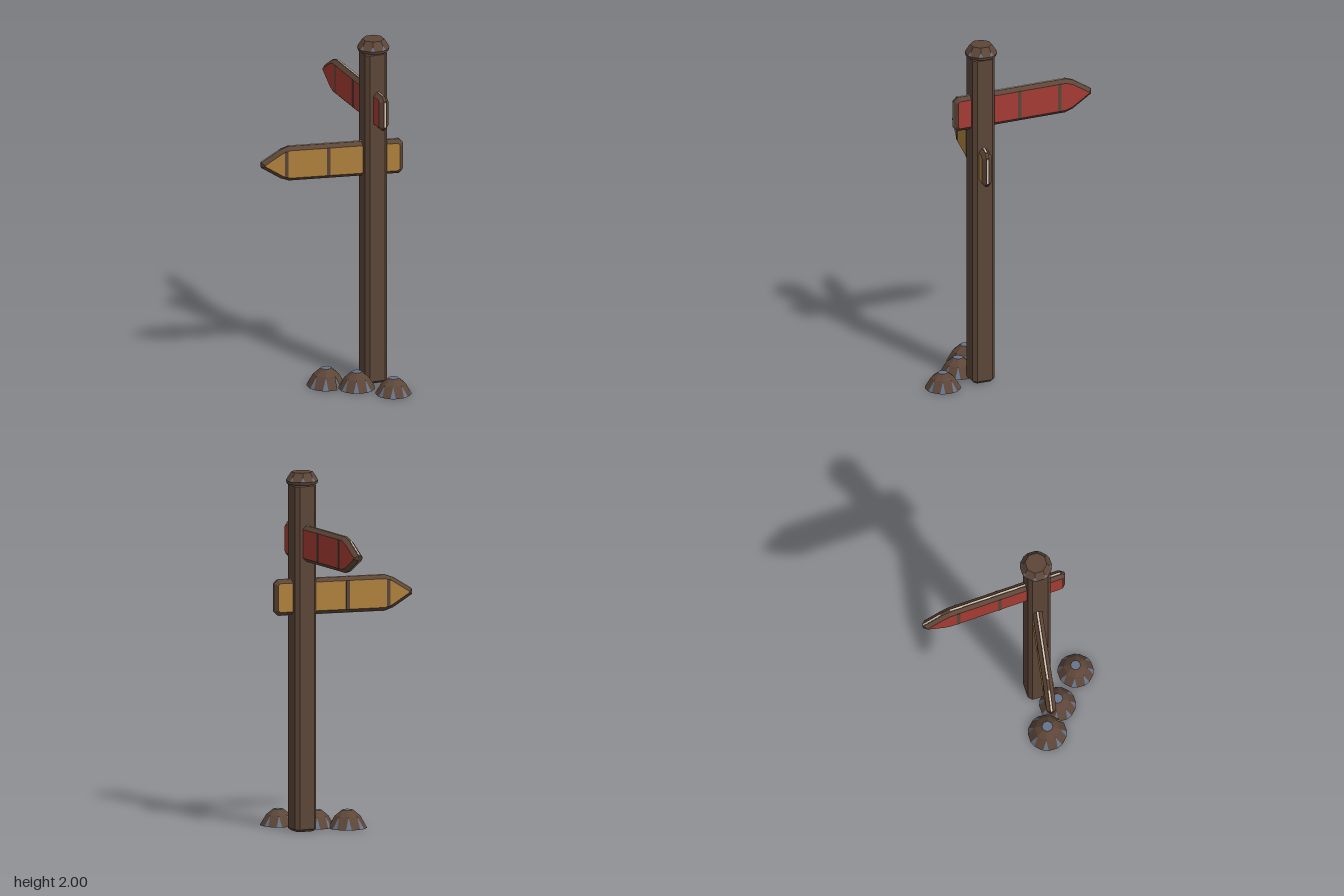
import * as THREE from 'three';

const mat = (name, color) => Object.assign(new THREE.MeshStandardMaterial({ color }), { name });

export function createModel() {
  const wood = mat('brown wood', 0x5d4638);
  const slate = mat('slate grey', 0x66748a);
  const ochre = mat('ochre paint', 0xb0823c);
  const red = mat('red paint', 0xa63c34);
  const cream = mat('cream edge', 0xd6cbb8);

  const model = new THREE.Group();
  model.name = 'signpost';

  const add = (parent, name, geometry, material, x = 0, y = 0, z = 0) => {
    const mesh = new THREE.Mesh(geometry, material);
    mesh.name = name;
    mesh.position.set(x, y, z);
    parent.add(mesh);
    return mesh;
  };
  const bevelled = (points, depth, bevel) => new THREE.ExtrudeGeometry(
    new THREE.Shape(points.map(([x, y]) => new THREE.Vector2(x, y))),
    { depth: depth - 2 * bevel, bevelThickness: bevel, bevelSize: bevel, bevelOffset: -bevel, bevelSegments: 1 },
  ).translate(0, 0, bevel - depth / 2);

  // Flat-faceted geometry from a list of triangles
  const facets = (triangles) => {
    const g = new THREE.BufferGeometry();
    g.setAttribute('position', new THREE.Float32BufferAttribute(triangles.flat(2), 3));
    g.computeVertexNormals();
    return g;
  };

  // Eight-sided dome whose lower corners are cut into slate wedges.
  // Rings are [radius, height]: skirt, rim, shoulder, crown.
  function dome(name, [skirt, rim, shoulder, crown], crownMaterial, missing = -1) {
    const group = new THREE.Group();
    group.name = name;
    const brown = [], grey = [], top = [];
    const at = ([r, y], a) => [r * Math.cos(a), y, -r * Math.sin(a)];
    const quad = (list, a, b, c, d) => list.push([a, b, c], [a, c, d]);
    const cut = 0.15;
    for (let k = 0; k < 8; k++) {
      const a = (k + 0.5) * Math.PI / 4, b = a + Math.PI / 4;
      if (k !== missing) grey.push([at(rim, a - cut), at(rim, a + cut), at(shoulder, a)]);
      quad(brown, at(rim, a + cut), at(rim, b - cut), at(shoulder, b), at(shoulder, a));
      quad(brown, at(shoulder, a), at(shoulder, b), at(crown, b), at(crown, a));
      top.push([at(crown, a), at(crown, b), [0, crown[1], 0]]);
      // Skirt and underside
      for (const [p, q] of [[a - cut, a + cut], [a + cut, b - cut]]) {
        if (skirt[1] < rim[1]) quad(brown, at(skirt, p), at(skirt, q), at(rim, q), at(rim, p));
        brown.push([at(skirt, q), at(skirt, p), [0, skirt[1], 0]]);
      }
    }
    add(group, 'domeSides', facets(brown), wood);
    add(group, 'cornerWedges', facets(grey), slate);
    add(group, 'crown', facets(top), crownMaterial);
    model.add(group);
    return group;
  }

  // Square post with chamfered corners
  const h = 0.065, c = 0.045;
  const post = bevelled([[h, -c], [h, c], [c, h], [-c, h], [-h, c], [-h, -c], [-c, -h], [c, -h]], 1.94, 0.015);
  add(model, 'post', post.rotateX(-Math.PI / 2), wood, 0.225, 0.97, 0.165);

  // Cap on the post
  dome('postCap', [[0.084, 1.935], [0.089, 1.952], [0.077, 1.975], [0.06, 2]], wood)
    .position.set(0.227, 0, 0.162);

  // Stones at the foot
  [[-0.043, 0.14, 1.08, 0.1, 6], [0.097, 0.245, 1.02, 0.095, -1], [0.253, 0.4, 1, 0.09, -1]]
    .forEach(([x, z, s, height, missing], i) => {
      const rings = [[0.1, 0], [0.1, 0], [0.066, 0.66], [0.028, 1]].map(([r, y]) => [r * s, y * height]);
      dome('stone' + (i + 1), rings, slate, missing).position.set(x, 0, z);
    });

  // Arrow board: tip at the local origin, tail along +x
  function board(name, paint, length, dividers) {
    const group = new THREE.Group();
    group.name = name;
    const upper = [[length, 0.078], [length - 0.022, 0.1], [0.155, 0.1], [0.11, 0.084], [0, 0.014]];
    const outline = [...upper, ...upper.map(([x, y]) => [x, -y]).reverse()];
    add(group, 'arrowPanel', bevelled(outline, 0.055, 0.02), [paint, wood]);

    // Cream stripes along the straight edges
    outline.forEach(([x0, y0], i) => {
      const [x1, y1] = outline[(i + 1) % outline.length];
      const len = Math.hypot(x1 - x0, y1 - y0);
      if (len < 0.06) return;
      const stripe = add(group, 'edgeStripe', new THREE.BoxGeometry(len - 0.012, 0.004, 0.008), cream,
        (x0 + x1) / 2, (y0 + y1) / 2);
      stripe.rotation.z = Math.atan2(y1 - y0, x1 - x0);
    });

    // Plank seams on both faces
    for (const x of dividers) {
      add(group, 'plankSeam', new THREE.BoxGeometry(0.02, x < 0.16 ? 0.15 : 0.162, 0.058), wood, x);
    }
    model.add(group);
    return group;
  }

  const lower = board('lowerArrow', ochre, 0.795, [0.14, 0.375, 0.61]);
  lower.position.set(-0.394, 1.305, 0.051);
  lower.rotation.y = -0.175;

  const higher = board('upperArrow', red, 0.83, [0.2, 0.44, 0.68]);
  higher.position.set(0.206, 1.608, -0.5);
  higher.rotation.y = -1.54;

  return model;
}
